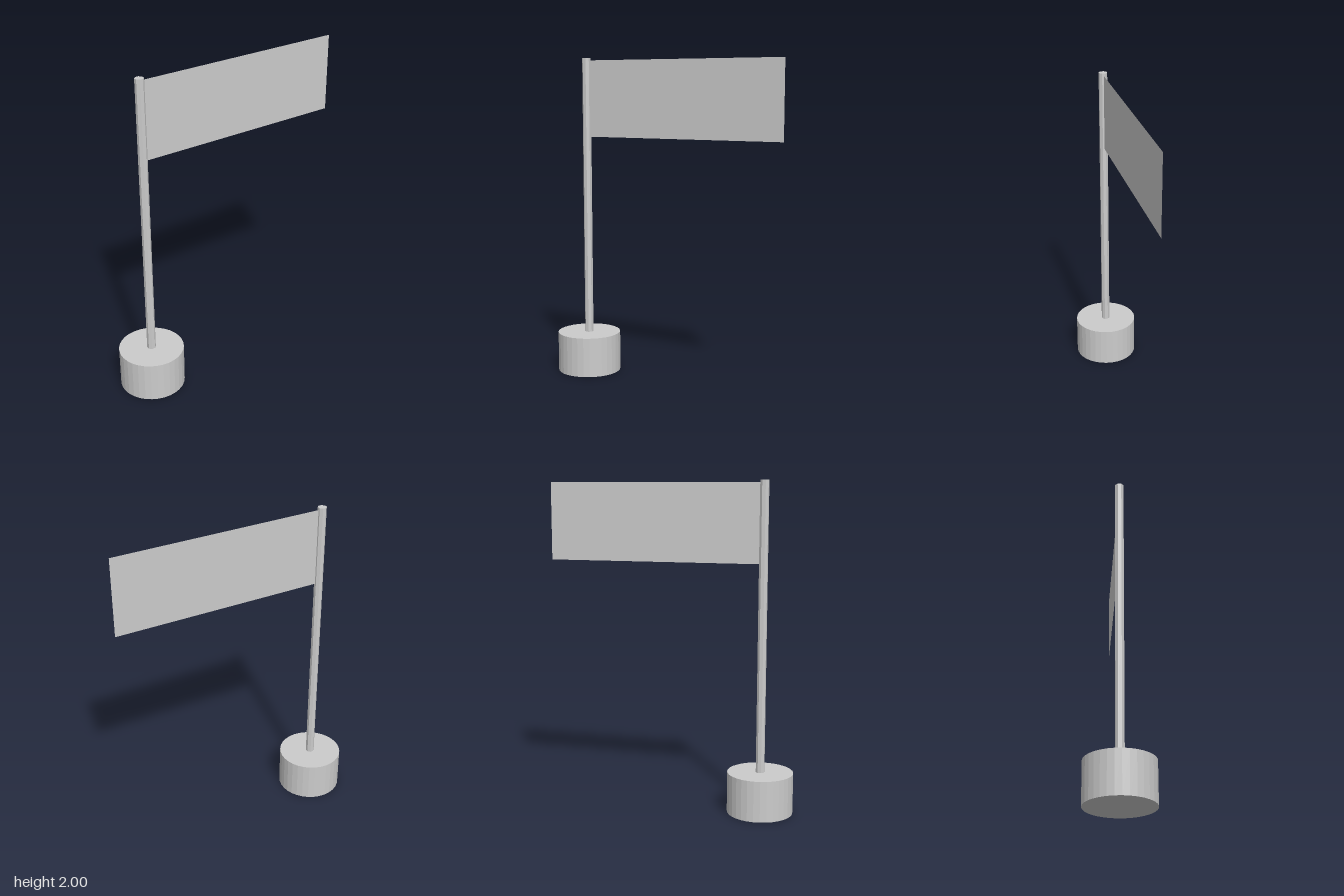
import * as THREE from 'three';

const BASE_HEIGHT = 0.25;
const TOTAL_HEIGHT = 2;
const POLE_X = -0.567;

export function createModel() {
  const model = new THREE.Group();
  const grey = new THREE.MeshStandardMaterial({ color: 0xcccccc, flatShading: true });
  const cloth = new THREE.MeshStandardMaterial({ color: 0xcccccc, side: THREE.DoubleSide });

  const add = (name, geometry, material, x, y) => {
    const mesh = new THREE.Mesh(geometry, material);
    mesh.name = name;
    mesh.position.set(x, y, 0);
    model.add(mesh);
    return mesh;
  };

  // Round weighted base
  add('base', new THREE.CylinderGeometry(0.2, 0.2, BASE_HEIGHT, 32), grey, POLE_X, BASE_HEIGHT / 2);

  // Eight-sided pole, turned so a flat faces the front
  const poleHeight = TOTAL_HEIGHT - BASE_HEIGHT;
  const pole = add('pole', new THREE.CylinderGeometry(0.027, 0.027, poleHeight, 8), grey,
    POLE_X, BASE_HEIGHT + poleHeight / 2);
  pole.rotation.y = Math.PI / 8;

  // Thin flat flag running from the pole's axis
  const left = POLE_X, right = 0.767, bottom = 1.51, top = 1.985;
  add('flag', new THREE.PlaneGeometry(right - left, top - bottom), cloth,
    (left + right) / 2, (bottom + top) / 2);

  return model;
}
